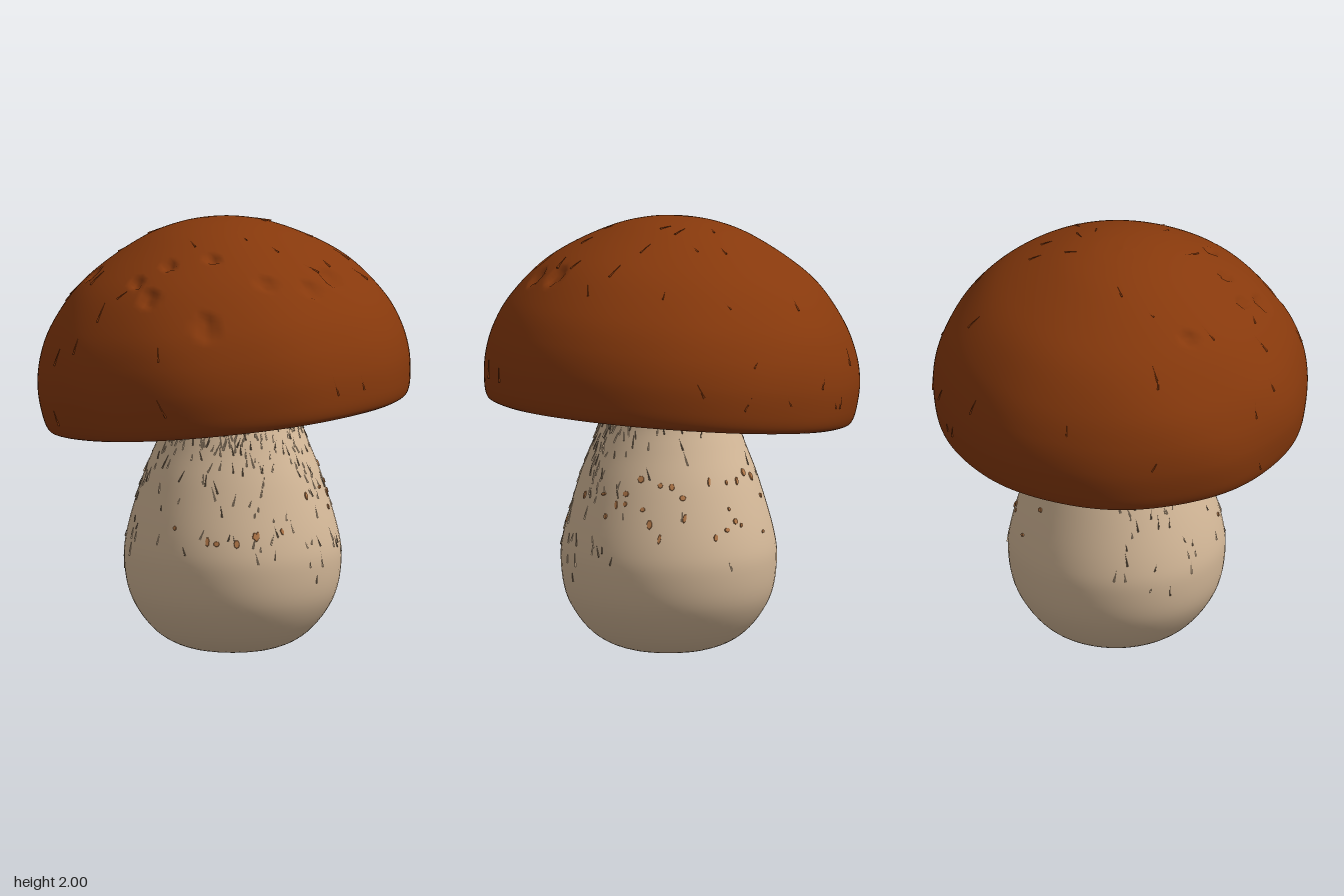
import * as THREE from 'three';
import { mergeVertices, mergeGeometries } from 'three/addons/utils/BufferGeometryUtils.js';

const V2 = (p) => new THREE.Vector2(p[0], p[1]);
const paint = (name, color, side = THREE.FrontSide) => {
  const m = new THREE.MeshStandardMaterial({ color, side });
  m.name = name;
  return m;
};

let seed = 7;
const rand = (a = 0, b = 1) => {
  seed = (seed * 16807) % 2147483647;
  return a + (b - a) * (seed / 2147483647);
};

// Small hollows on the cap, as [x, z, radius]
const hollows = [[-0.06, 0.47, 0.035], [-0.2, 0.53, 0.035], [-0.12, 0.63, 0.045], [0.14, 0.43, 0.035],
  [0.17, 0.73, 0.05], [-0.5, 0.23, 0.04], [0.62, 0.2, 0.05], [0.57, 0.36, 0.04], [0.4, 0.48, 0.04]];

// Gentle hand-shaped unevenness; cap hollows are pressed in on the dome only
function dentCap(p) {
  const k = 1 + 0.006 * Math.sin(9 * p.x + 4 * p.y) * Math.sin(8 * p.z + 3 * p.y);
  p.x *= k;
  p.z *= k;
  if (p.y > 0.1) {
    for (const [x, z, r] of hollows) {
      const d = Math.hypot(p.x - x, p.z - z) / r;
      if (d < 1) p.multiplyScalar(1 - 0.022 * Math.min(1, 2.2 * (1 - d)));
    }
  }
  return p;
}
function unevenStem(p) {
  const k = 1 + 0.008 * Math.sin(7 * p.x + 3 * p.y) * Math.sin(6 * p.z - 2 * p.y);
  p.x *= k;
  p.z *= k;
  return p;
}

// Lathe with its vertices moved by a rule, then smoothed across the seam
function turned(points, sides, rule) {
  const g = new THREE.LatheGeometry(points, sides);
  const pos = g.attributes.position;
  const p = new THREE.Vector3();
  for (let i = 0; i < pos.count; i++) {
    rule(p.fromBufferAttribute(pos, i));
    pos.setXYZ(i, p.x, p.y, p.z);
  }
  g.deleteAttribute('uv');
  g.deleteAttribute('normal');
  const out = mergeVertices(g, 1e-4);
  out.computeVertexNormals();
  return out;
}

// Point on a turned surface, and a geometry laid flat on it there
function surfacePoint(curve, t, angle, rule) {
  const q = curve.getPoint(t);
  return rule(new THREE.Vector3(q.x * Math.sin(angle), q.y, q.x * Math.cos(angle)));
}
function layOn(geometry, curve, t, angle, rule, spin, lift) {
  const p = surfacePoint(curve, t, angle, rule);
  const up = surfacePoint(curve, t + 0.005, angle, rule).sub(p).normalize();
  const side = surfacePoint(curve, t, angle + 0.01, rule).sub(p).normalize();
  const out = new THREE.Vector3().crossVectors(side, up).normalize();
  side.crossVectors(up, out);
  const m = new THREE.Matrix4().makeBasis(side, up, out).setPosition(p.addScaledVector(out, lift));
  return geometry.rotateZ(spin).applyMatrix4(m);
}

export function createModel() {
  const model = new THREE.Group();
  const brown = paint('cap brown', 0x87390c);
  const cream = paint('stem cream', 0xd4b898);
  const rimPale = paint('rim pale', 0xcdc0ab);
  const poreGrey = paint('pore grey beige', 0xb9ac98);
  const spotTan = paint('spot tan', 0xb57a4a);
  const fleckDark = paint('fleck dark', 0x75634f);
  const add = (parent, name, geometry, material) => {
    const mesh = new THREE.Mesh(geometry, material);
    mesh.name = name;
    parent.add(mesh);
  };

  // Bulbous stem
  const stem = new THREE.Group();
  stem.name = 'stem';
  stem.position.set(0.035, 0, -0.012);
  model.add(stem);
  const stemCurve = new THREE.SplineCurve([[0, 0], [0.2, 0.015], [0.35, 0.09], [0.46, 0.24], [0.495, 0.41],
    [0.48, 0.56], [0.41, 0.8], [0.345, 0.97], [0.3, 1.1], [0.29, 1.22]].map(V2));
  add(stem, 'stemBody', turned(stemCurve.getPoints(54), 64, unevenStem), cream);

  // Tan spots, mostly on the left and back
  const spots = [];
  for (let i = 0; i < 34; i++) {
    const angle = i < 8 ? rand(-0.3, 0.9) : rand(1.2, 3.7);
    const t = i < 8 ? rand(0.54, 0.59) : rand(0.55, 0.7);
    const s = new THREE.CylinderGeometry(0.013, 0.015, 0.006, 7).rotateX(Math.PI / 2);
    s.scale(rand(0.5, 1.1), rand(0.5, 1.6), 1);
    spots.push(layOn(s, stemCurve, t, angle, unevenStem, rand(-0.3, 0.3), 0.002));
  }
  add(stem, 'stemSpots', mergeGeometries(spots), spotTan);

  // Fine fibres, densest near the neck and sparse at the back
  const fibres = [];
  const darkFibres = [];
  for (let i = 0; i < 260; i++) {
    const t = 0.87 - 0.45 * rand() * rand();
    const angle = i % 4 ? rand(-1.6, 1.9) : rand(0, Math.PI * 2);
    const f = new THREE.ConeGeometry(0.005, rand(0.03, 0.075), 3).scale(1, 1, 0.8);
    (i % 3 ? fibres : darkFibres).push(layOn(f, stemCurve, t, angle, unevenStem, rand(-0.4, 0.4), 0.001));
  }
  add(stem, 'stemFibres', mergeGeometries(fibres), cream);
  add(stem, 'stemFlecks', mergeGeometries(darkFibres), fleckDark);

  // Tilted cap: dome, pale rim and pore layer
  const cap = new THREE.Group();
  cap.name = 'cap';
  cap.position.set(0.02, 1.1, 0);
  cap.rotation.z = 0.11;
  model.add(cap);
  const domeCurve = new THREE.SplineCurve([[0.795, -0.008], [0.83, 0.012], [0.85, 0.08], [0.857, 0.2],
    [0.833, 0.33], [0.77, 0.468], [0.645, 0.625], [0.5, 0.737], [0.31, 0.837], [0.15, 0.885], [0, 0.9]].map(V2));
  add(cap, 'capDome', turned(domeCurve.getPoints(110), 144, dentCap), brown);
  add(cap, 'capRim', turned([[0.735, 0.012], [0.75, -0.002], [0.775, -0.01], [0.797, -0.008]].map(V2), 72, dentCap), rimPale);
  const poreCurve = new THREE.SplineCurve([[0.24, 0.1], [0.32, 0.05], [0.42, 0.025], [0.58, 0.012], [0.74, 0.012]].map(V2));
  add(cap, 'poreLayer', turned(poreCurve.getPoints(16), 72, dentCap), poreGrey);

  // Tiny pits scattered over the pore layer
  const pits = [];
  for (let i = 0; i < 220; i++) {
    const pit = new THREE.ConeGeometry(0.005, rand(0.015, 0.04), 3);
    pits.push(layOn(pit, poreCurve, rand(0.3, 0.93), rand(0, Math.PI * 2), dentCap, rand(0, Math.PI), 0.001));
  }
  add(cap, 'porePits', mergeGeometries(pits), fleckDark);

  // Small raised flakes of cap skin
  const flakes = [];
  for (let i = 0; i < 40; i++) {
    const flake = new THREE.ConeGeometry(0.006, rand(0.04, 0.11), 3);
    flakes.push(layOn(flake, domeCurve, rand(0.2, 0.85), rand(0, Math.PI * 2), dentCap, rand(-0.7, 0.7), 0));
  }
  add(cap, 'capFlakes', mergeGeometries(flakes), brown);
  return model;
}
